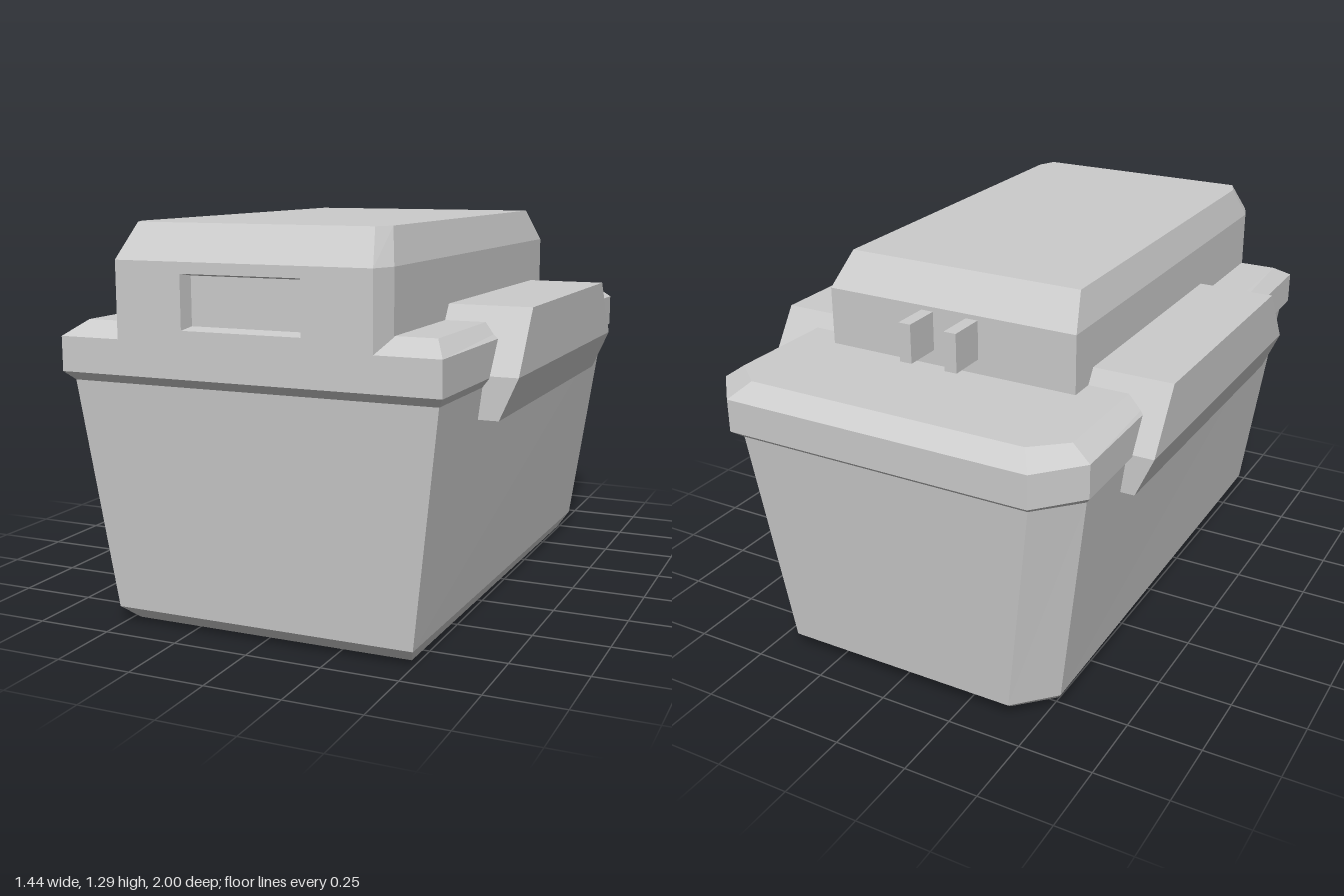
import * as THREE from 'three';

const material = new THREE.MeshStandardMaterial({ color: 0xcccccc, flatShading: true, side: THREE.DoubleSide });

function addMesh(parent, name, geometry) {
  const mesh = new THREE.Mesh(geometry, material);
  mesh.name = name;
  parent.add(mesh);
  return mesh;
}

// Closed solid through level outlines, each { y, pts: [[x, z], ...] }, listed bottom to top,
// points running counterclockwise seen from above.
function loft(rings) {
  const pos = [];
  const n = rings[0].pts.length;
  const put = (r, j) => pos.push(r.pts[j % n][0], r.y, r.pts[j % n][1]);
  for (let i = 0; i < rings.length - 1; i++) {
    const lo = rings[i], hi = rings[i + 1];
    for (let j = 0; j < n; j++) {
      put(lo, j); put(lo, j + 1); put(hi, j + 1);
      put(lo, j); put(hi, j + 1); put(hi, j);
    }
  }
  const bottom = rings[0], top = rings[rings.length - 1];
  for (let j = 1; j < n - 1; j++) {
    put(bottom, 0); put(bottom, j + 1); put(bottom, j);
    put(top, 0); put(top, j); put(top, j + 1);
  }
  const g = new THREE.BufferGeometry();
  g.setAttribute('position', new THREE.Float32BufferAttribute(pos, 3));
  g.computeVertexNormals();
  return g;
}

const mirrorPts = (pts) => pts.map(([x, z]) => [-x, z]).reverse();

// Ring from its +x half (front to back), mirrored to the other side
const ring = (y, ...half) => ({ y, pts: [...half, ...mirrorPts(half)] });

// Front panel with a shallow tapered window recess
function frontPanelGeometry(depth) {
  const shape = new THREE.Shape();
  shape.moveTo(-0.42, 0.86).lineTo(0.42, 0.86).lineTo(0.42, 1.18).lineTo(-0.42, 1.18).closePath();
  const hole = new THREE.Path();
  hole.moveTo(-0.197, 0.977).lineTo(-0.197, 1.145).lineTo(0.197, 1.145).lineTo(0.197, 0.977).closePath();
  shape.holes.push(hole);
  const g = new THREE.ExtrudeGeometry(shape, { depth, bevelEnabled: false });
  const p = g.attributes.position;
  for (let i = 0; i < p.count; i++) {
    if (p.getZ(i) > depth / 2) continue;
    const x = p.getX(i), y = p.getY(i);
    if (Math.abs(x) > 0.3) p.setX(i, Math.sign(x) * 0.439);
    else p.setXYZ(i, x * 0.96, 1.061 + (y - 1.061) * 0.9, 0);
  }
  g.translate(0, 0, 1 - depth);
  g.computeVertexNormals();
  return g;
}

export function createModel() {
  const model = new THREE.Group();
  model.name = 'container';

  // Tapered tub, wider at the back, with cut back corners
  addMesh(model, 'tub', loft([
    ring(0, [0.477, 0.84], [0.495, -0.73], [0.385, -0.84]),
    ring(0.055, [0.507, 0.91], [0.53, -0.78], [0.41, -0.905]),
    ring(0.8, [0.603, 0.965], [0.632, -0.83], [0.51, -0.96]),
  ]));

  // Bevelled rim
  addMesh(model, 'rim', loft([
    ring(0.8, [0.603, 0.965], [0.632, -0.83], [0.51, -0.96]),
    ring(0.83, [0.625, 1], [0.655, -0.86], [0.53, -1]),
    ring(0.94, [0.625, 1], [0.655, -0.86], [0.53, -1]),
    ring(0.985, [0.58, 0.915], [0.59, -0.84], [0.485, -0.93]),
  ]));

  // Raised lid: walls, recessed front panel and bevelled top
  const lid = new THREE.Group();
  lid.name = 'lid';
  model.add(lid);
  addMesh(lid, 'lidWalls', loft([
    ring(0.86, [0.439, 0.95], [0.45, 0.92], [0.45, -0.545]),
    ring(1.18, [0.439, 0.95], [0.45, 0.92], [0.45, -0.545]),
  ]));
  addMesh(lid, 'lidFrontPanel', frontPanelGeometry(0.05));
  addMesh(lid, 'lidTop', loft([
    ring(1.18, [0.42, 1], [0.45, 0.92], [0.45, -0.545]),
    ring(1.29, [0.39, 0.915], [0.418, 0.85], [0.418, -0.455]),
  ]));

  // Side grips folded over the rim
  for (const [side, name] of [[1, 'leftGrip'], [-1, 'rightGrip']]) {
    const level = (y, x, front, back) => {
      const pts = [[x, front], [x, back], [0.42, back], [0.42, front]];
      return { y, pts: side > 0 ? pts : mirrorPts(pts) };
    };
    addMesh(model, name, loft([
      level(0.7, 0.662, 0.608, -0.558),
      level(0.835, 0.722, 0.608, -0.558),
      level(1.033, 0.722, 0.472, -0.425),
    ]));
  }

  // Two tabs on the back of the lid
  for (const x of [-0.086, 0.078]) {
    addMesh(model, 'backTab', new THREE.BoxGeometry(0.043, 0.13, 0.15)).position.set(x, 1.1, -0.6);
  }
  return model;
}
